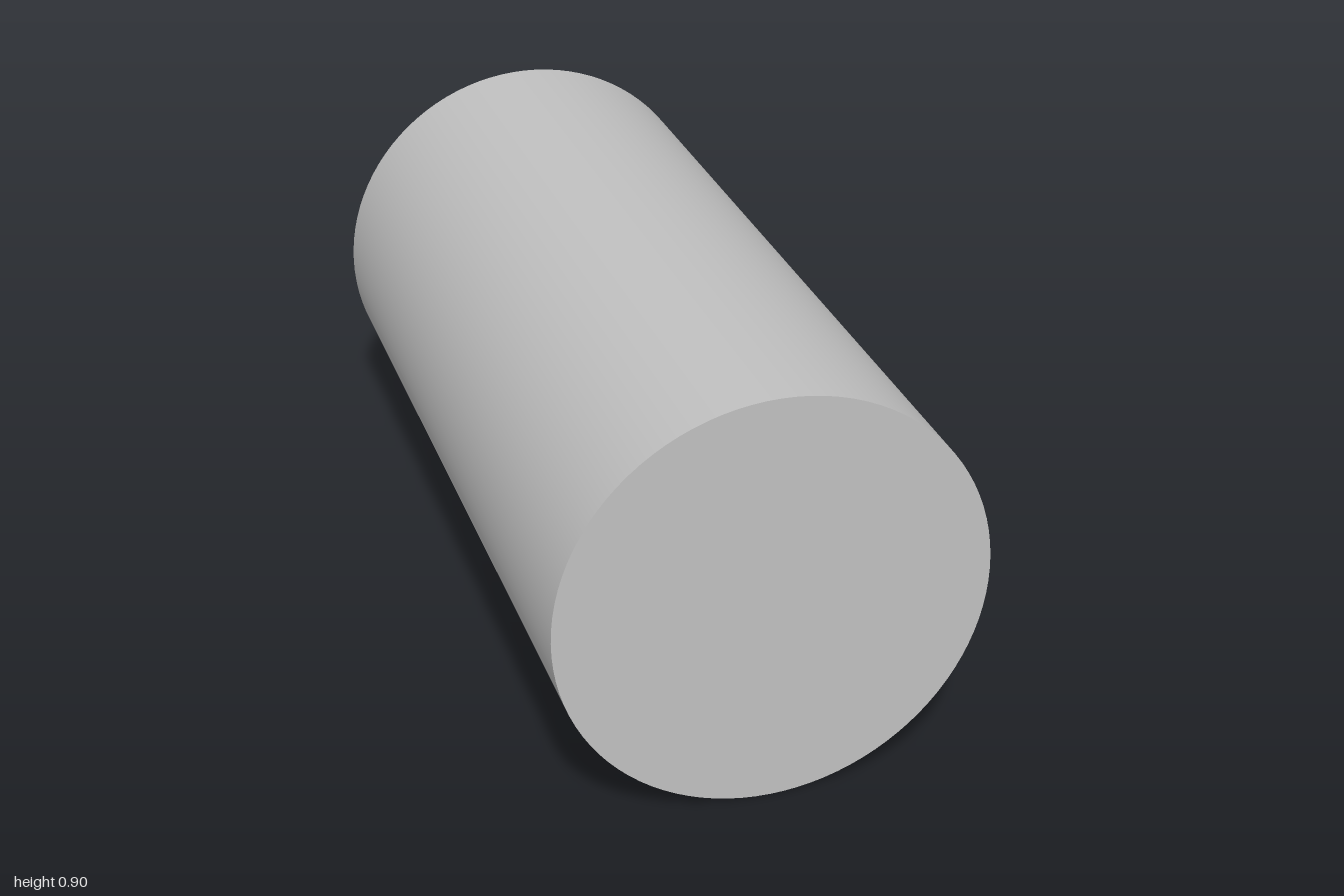
import * as THREE from 'three';

const RADIUS = 0.448;
const LENGTH = 1.792;
const SOCKET_RADIUS = 0.233; // centre to corner
const SOCKET_DEPTH = 0.448;
const SEGMENTS = 96;

export function createModel() {
  const steel = new THREE.MeshStandardMaterial({ color: 0xc0c0c0 });
  steel.name = 'steel grey';

  // The screw is built along z with its socket at +z, then turned into place.
  const screw = new THREE.Group();
  screw.name = 'setScrew';
  const add = (name, geometry, z) => {
    const mesh = new THREE.Mesh(geometry, steel);
    mesh.name = name;
    mesh.position.z = z;
    screw.add(mesh);
  };

  // Smooth round body
  const body = new THREE.CylinderGeometry(RADIUS, RADIUS, LENGTH, SEGMENTS, 1, true);
  add('body', body.rotateX(Math.PI / 2), 0);

  // Plain end
  add('plainEnd', new THREE.CircleGeometry(RADIUS, SEGMENTS).rotateY(Math.PI), -LENGTH / 2);

  // Drive end with a hexagonal opening
  const face = new THREE.Shape().absarc(0, 0, RADIUS, 0, Math.PI * 2, false);
  const corners = [];
  for (let i = 0; i < 6; i++) {
    const a = (i * Math.PI) / 3;
    corners.push(new THREE.Vector2(Math.cos(a) * SOCKET_RADIUS, Math.sin(a) * SOCKET_RADIUS));
  }
  face.holes.push(new THREE.Path(corners));
  add('driveEnd', new THREE.ShapeGeometry(face, SEGMENTS), LENGTH / 2);

  // Socket walls, mirrored so that they face inward
  const walls = new THREE.CylinderGeometry(
    SOCKET_RADIUS, SOCKET_RADIUS, SOCKET_DEPTH, 6, 1, true, Math.PI / 2
  ).rotateX(Math.PI / 2).scale(-1, 1, 1).toNonIndexed();
  walls.computeVertexNormals();
  add('socketWalls', walls, LENGTH / 2 - SOCKET_DEPTH / 2);

  // Flat socket floor
  add('socketFloor', new THREE.CircleGeometry(SOCKET_RADIUS, 6), LENGTH / 2 - SOCKET_DEPTH);

  // Lay it on the ground with the drive end toward the back left
  screw.rotation.y = (Math.PI * 5) / 6;
  screw.position.y = RADIUS;

  const model = new THREE.Group();
  model.name = 'model';
  model.add(screw);
  return model;
}
